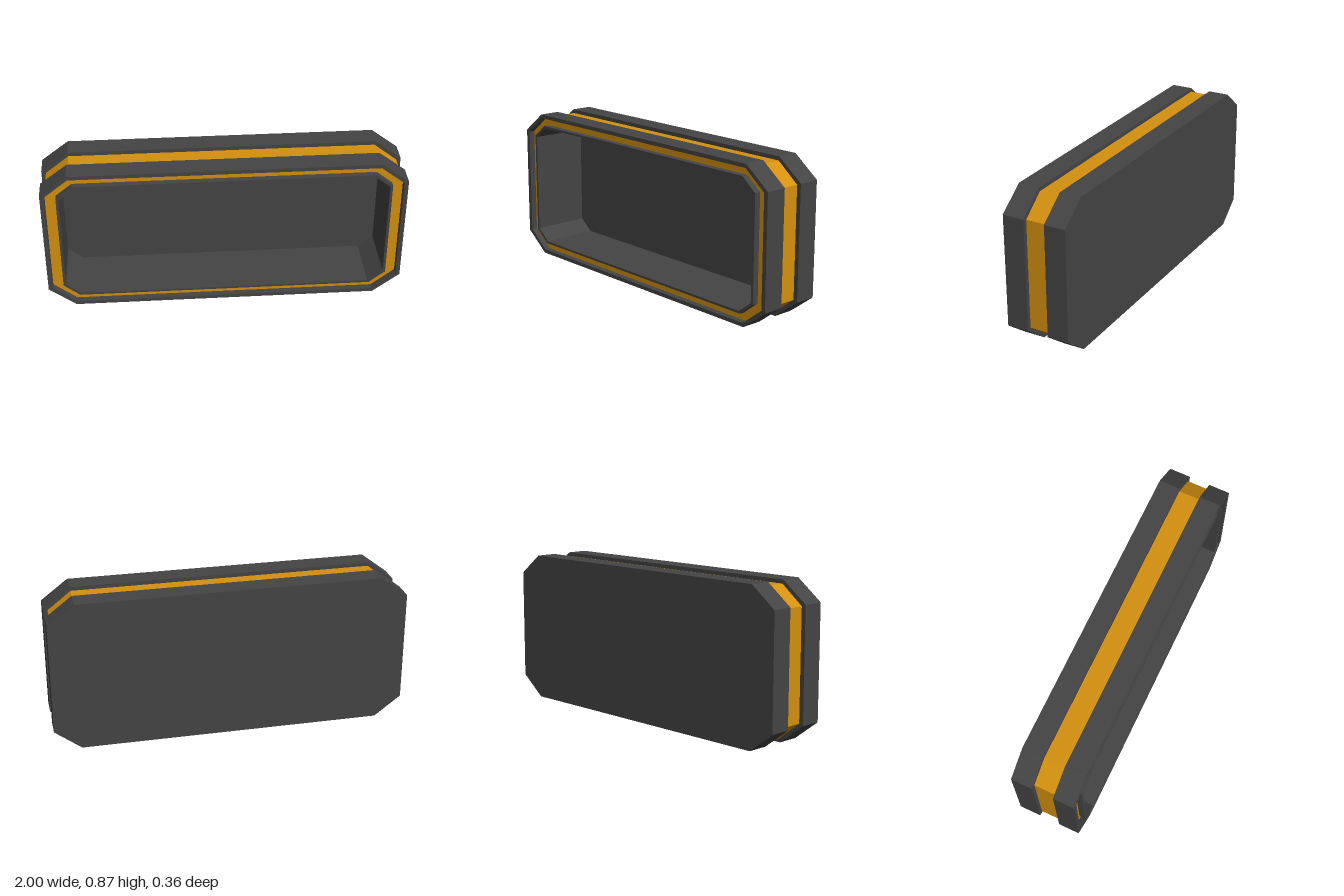
import * as THREE from 'three';

// Chamfered rectangle outlines: half width, half height, chamfer x, chamfer y
const OUTER = [1, 0.4325, 0.15, 0.115];
const BAND = [0.975, 0.411, 0.13, 0.103];
const LINER = [0.915, 0.366, 0.09, 0.072];
const CAVITY = [0.9, 0.353, 0.084, 0.066];

function outline([w, h, cx, cy]) {
  return [
    [w, cy - h], [w, h - cy], [w - cx, h], [cx - w, h],
    [-w, h - cy], [-w, cy - h], [cx - w, -h], [w - cx, -h],
  ].map(([x, y]) => new THREE.Vector2(x, y));
}

// Extrudes an outline, optionally hollow, from z0 to z1
function slab(name, material, z0, z1, outer, inner) {
  const shape = new THREE.Shape(outline(outer));
  if (inner) shape.holes.push(new THREE.Path(outline(inner)));
  const geometry = new THREE.ExtrudeGeometry(shape, { depth: z1 - z0, bevelEnabled: false });
  geometry.translate(0, OUTER[1], z0);
  const mesh = new THREE.Mesh(geometry, material);
  mesh.name = name;
  return mesh;
}

export function createModel() {
  const dark = new THREE.MeshStandardMaterial({ color: 0x444444 });
  dark.name = 'charcoal';
  const gold = new THREE.MeshStandardMaterial({ color: 0xd4900f });
  gold.name = 'amber';

  const group = new THREE.Group();
  group.name = 'chamferedTray';
  group.add(
    // Closed back and the two outer casing rings
    slab('backPlate', dark, -0.182, -0.153, OUTER),
    slab('rearCasing', dark, -0.153, -0.06, OUTER, BAND),
    slab('frontCasing', dark, 0.06, 0.182, OUTER, BAND),
    // Band seen between the rings and in the recessed front groove
    slab('amberBand', gold, -0.153, 0.147, BAND, LINER),
    // Inner wall of the open cavity
    slab('cavityLiner', dark, -0.153, 0.182, LINER, CAVITY),
  );
  return group;
}
